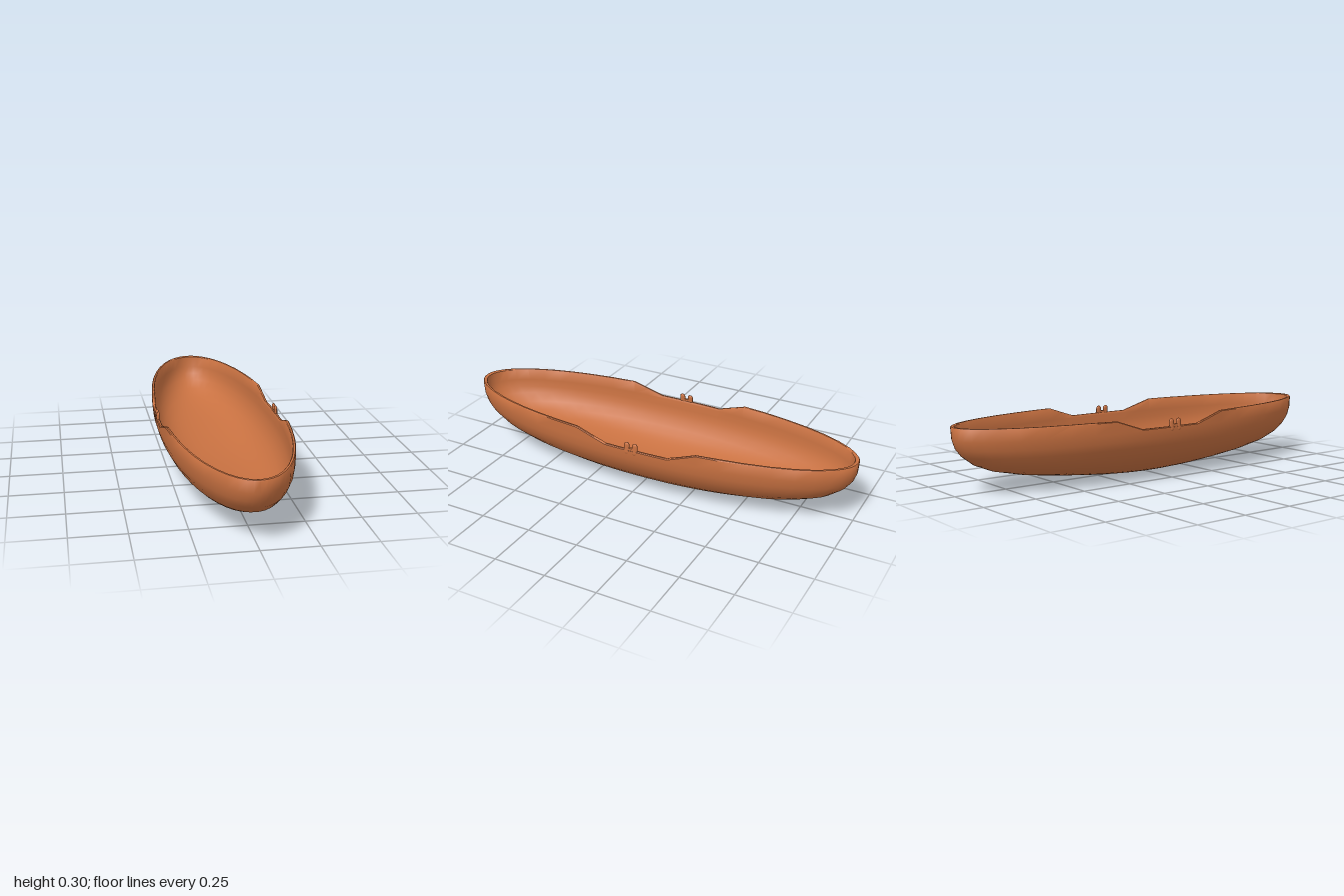
import * as THREE from 'three';
import { toCreasedNormals } from 'three/addons/utils/BufferGeometryUtils.js';

// piecewise-linear lookup through [position, value] pairs
function lookup(table, t) {
  for (let i = 1; i < table.length; i++) {
    const [a, va] = table[i - 1], [b, vb] = table[i];
    if (t <= b) return va + (vb - va) * Math.max(0, (t - a) / (b - a));
  }
  return table[table.length - 1][1];
}

// waterlines: height and half-length of the hull there
const WATERLINES = [[0, 0], [0.004, 0.15], [0.011, 0.26], [0.02, 0.36], [0.031, 0.46], [0.043, 0.56],
  [0.061, 0.69], [0.09, 0.82], [0.123, 0.9], [0.165, 0.955], [0.2, 0.982], [0.24, 0.996]];
const TURN = 0.24;   // height where the round bilge becomes a straight wall
const FLOOR = 0.026; // thickness of the bottom
// height of the upper edge along z, with its dip amidships
const SHEER = [[-0.34, 0.298], [-0.2, 0.25], [0.12, 0.25], [0.28, 0.298]];
const STATIONS = [-1, -0.996, -0.985, -0.96, -0.92, -0.86, -0.78, -0.68, -0.56, -0.45, -0.34, -0.27, -0.2,
  -0.1, 0, 0.12, 0.2, 0.28, 0.4, 0.52, 0.62, 0.7, 0.78, 0.86, 0.92, 0.96, 0.985, 0.996, 1];

// one pointed-oval ring; heightAt gives y for each z
function ring(halfWidth, halfLength, heightAt) {
  const halfRing = (side, list) => list.map((s) => {
    const z = halfLength * s;
    return [side * halfWidth * Math.sqrt(1 - Math.abs(s) ** 2.1), heightAt(z), z];
  });
  return [...halfRing(1, STATIONS), ...halfRing(-1, STATIONS.slice(1, -1).reverse())];
}

function hullGeometry() {
  const bulge = (y, p) => (1 - ((TURN - y) / TURN) ** p) ** (1 / p);
  const edge = (drop) => (z) => lookup(SHEER, z) - drop;

  const outer = WATERLINES.map(([y, len]) => ring(0.295 * bulge(y, 2), len, () => y));
  const inner = WATERLINES.map(([y, len]) =>
    ring(0.278 * bulge(y, 2.4), 0.978 * len, () => FLOOR + y * (TURN - FLOOR) / TURN)).reverse();
  const rim = [ring(0.295, 1, edge(0.004)), ring(0.291, 0.997, edge(0)),
    ring(0.283, 0.984, edge(0)), ring(0.28, 0.98, edge(0.003))];

  const rings = [...outer, ...rim, ...inner];
  const n = rings[0].length, index = [];
  for (let i = 0; i < rings.length - 1; i++) {
    for (let j = 0; j < n; j++) {
      const a = i * n + j, b = i * n + (j + 1) % n, c = a + n, d = b + n;
      index.push(a, c, b, c, d, b);
    }
  }
  const geo = new THREE.BufferGeometry();
  geo.setAttribute('position', new THREE.Float32BufferAttribute(rings.flat(2), 3));
  geo.setIndex(index);
  return toCreasedNormals(geo, 0.75);
}

export function createModel() {
  const model = new THREE.Group();
  model.name = 'boat';
  const wood = new THREE.MeshStandardMaterial({ color: 0xc87141 });
  wood.name = 'warm wood';

  const hull = new THREE.Mesh(hullGeometry(), wood);
  hull.name = 'hull';
  model.add(hull);

  // paired oar pins on each gunwale
  const pinGeo = new THREE.CapsuleGeometry(0.014, 0.032, 5, 12);
  for (const side of [-1, 1]) {
    const oarlock = new THREE.Group();
    oarlock.name = side > 0 ? 'leftOarlock' : 'rightOarlock';
    for (const z of [0.021, -0.021]) {
      const pin = new THREE.Mesh(pinGeo, wood);
      pin.name = 'oarPin';
      pin.scale.x = 0.55;
      pin.position.set(0, 0.255, z);
      pin.rotation.z = side * 0.06;
      oarlock.add(pin);
    }
    const saddle = new THREE.Mesh(new THREE.BoxGeometry(0.012, 0.025, 0.05), wood);
    saddle.name = 'oarSaddle';
    saddle.position.y = 0.247;
    oarlock.add(saddle);
    oarlock.position.set(side * 0.288, 0, -0.015);
    model.add(oarlock);
  }
  return model;
}
